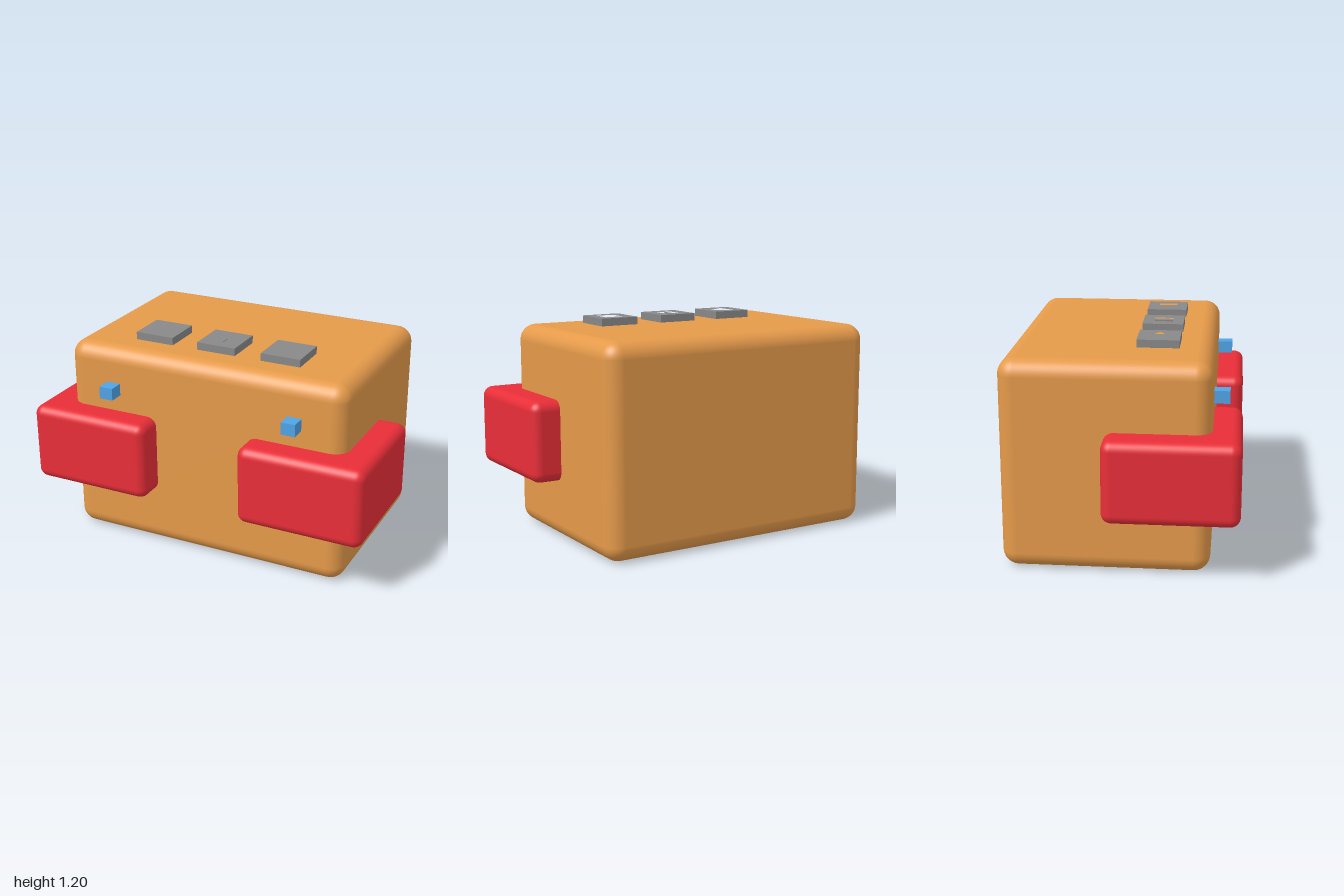
import * as THREE from 'three';
import { RoundedBoxGeometry } from 'three/addons/geometries/RoundedBoxGeometry.js';

const material = (color) => new THREE.MeshStandardMaterial({ color });

// Closed outline from [x, z] corner pairs
const outline = (Type, points) => new Type(points.map(([x, z]) => new THREE.Vector2(x, -z)));

const rect = (x, z, w, d) => [
  [x - w / 2, z - d / 2], [x + w / 2, z - d / 2], [x + w / 2, z + d / 2], [x - w / 2, z + d / 2],
];

// Flat slab lying in xz, pierced by holes
function slab(shape, height) {
  return new THREE.ExtrudeGeometry(shape, { depth: height, bevelEnabled: false }).rotateX(-Math.PI / 2);
}

export function createModel() {
  const model = new THREE.Group();
  model.name = 'boxRobot';
  const orange = material(0xe59a4a);
  const red = material(0xe82e38);
  const blue = material(0x4fa4e6);
  const grey = material(0x888888);

  const add = (parent, name, geometry, mat, x = 0, y = 0, z = 0) => {
    const mesh = new THREE.Mesh(geometry, mat);
    mesh.name = name;
    mesh.position.set(x, y, z);
    parent.add(mesh);
    return mesh;
  };

  // Rounded main body
  add(model, 'body', new RoundedBoxGeometry(1.675, 1.155, 1.12, 6, 0.09), orange, 0.0025, 0.5775, -0.08);

  // Corner blocks and small front pegs, one per side
  for (const [side, s, pegX] of [['left', 1, 0.553], ['right', -1, -0.545]]) {
    add(model, side + 'CornerBlock', new RoundedBoxGeometry(0.72, 0.45, 0.72, 5, 0.055), red, s * 0.64, 0.56, 0.275);
    add(model, side + 'Peg', new THREE.BoxGeometry(0.081, 0.069, 0.105), blue, pegX, 0.917, 0.5125);
  }

  // Top buttons with recessed symbols
  const buttons = [
    ['playButton', -0.382, [[[-0.04, -0.068], [0.077, 0], [-0.04, 0.068]]]],
    ['pauseButton', 0.0, [rect(-0.028, 0, 0.034, 0.106), rect(0.028, 0, 0.034, 0.106)]],
    ['stopButton', 0.385, [rect(0.004, 0, 0.106, 0.106)]],
  ];
  for (const [name, x, holes] of buttons) {
    const button = new THREE.Group();
    button.name = name;
    button.position.set(x, 1.15, 0.175);
    const face = outline(THREE.Shape, rect(0, 0, 0.23, 0.23));
    face.holes = holes.map((h) => outline(THREE.Path, h));
    add(button, 'buttonBase', slab(outline(THREE.Shape, rect(0, 0, 0.23, 0.23)), 0.027), grey);
    add(button, 'buttonFace', slab(face, 0.021), grey, 0, 0.027, 0);
    model.add(button);
  }
  return model;
}
